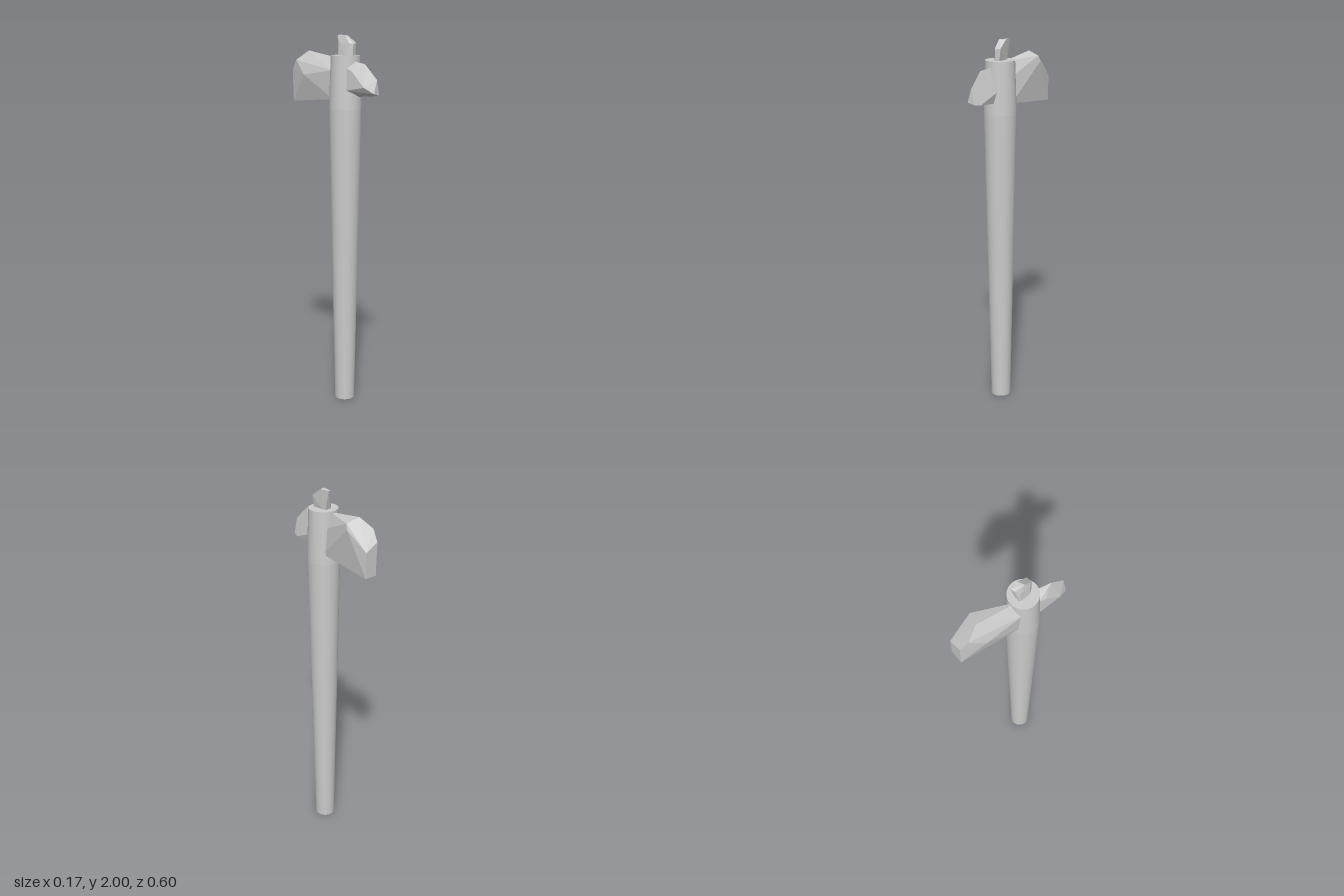
import * as THREE from 'three';
import { ConvexGeometry } from 'three/addons/geometries/ConvexGeometry.js';

const material = new THREE.MeshStandardMaterial({ color: 0xcccccc });
const stone = new THREE.MeshStandardMaterial({ color: 0xcccccc, flatShading: true });

// Faceted chipped-stone piece from its corner points
function chip(name, corners) {
  const geometry = new ConvexGeometry(corners.map((c) => new THREE.Vector3(...c)));
  const mesh = new THREE.Mesh(geometry, stone);
  mesh.name = name;
  return mesh;
}

export function createModel() {
  const group = new THREE.Group();
  group.name = 'stoneAxe';

  // Handle: widens upward, then narrows at the head; repeated points keep the rims sharp
  const profile = [
    [0, 0], [0.054, 0], [0.054, 0], [0.054, 0.001], [0.086, 1.62], [0.086, 1.622],
    [0.077, 1.896], [0.077, 1.897], [0.077, 1.897], [0, 1.897],
  ].map(([r, y]) => new THREE.Vector2(r, y));
  const handle = new THREE.Mesh(new THREE.LatheGeometry(profile, 32), material);
  handle.name = 'handle';
  handle.position.z = 0.073;
  group.add(handle);

  // Large blade at the back
  group.add(chip('blade', [
    // root, sunk into the handle
    [-0.057, 1.82, 0.03], [-0.008, 1.882, 0.03], [0.032, 1.80, 0.03],
    [0.045, 1.67, 0.03], [-0.05, 1.67, 0.03],
    // shoulder
    [-0.049, 1.79, -0.18], [0.01, 1.915, -0.195], [0.08, 1.895, -0.175],
    [0.086, 1.865, -0.185], [-0.021, 1.865, -0.26],
    // cutting end
    [-0.006, 1.81, -0.302], [0.07, 1.775, -0.302], [0.07, 1.64, -0.302], [0.0, 1.64, -0.302],
  ]));

  // Small pick at the front
  group.add(chip('pick', [
    [-0.055, 1.835, 0.12], [-0.005, 1.868, 0.12], [0.032, 1.75, 0.13],
    [0.015, 1.683, 0.13], [-0.06, 1.72, 0.13],
    [-0.022, 1.857, 0.222], [-0.035, 1.852, 0.185], [-0.059, 1.82, 0.165],
    [-0.064, 1.74, 0.25], [0.01, 1.695, 0.265],
    [-0.022, 1.78, 0.302], [-0.045, 1.71, 0.302], [-0.003, 1.70, 0.302],
  ]));

  // Splinter standing on top
  group.add(chip('topSplinter', [
    [-0.02, 1.88, 0.04], [-0.02, 1.88, 0.095], [0.0, 1.88, 0.122],
    [0.022, 1.88, 0.118], [0.02, 1.88, 0.04],
    [-0.015, 1.96, 0.045], [-0.01, 1.96, 0.105], [0.003, 1.955, 0.124],
    [0.033, 1.96, 0.118],
    [0.02, 2.0, 0.012], [0.028, 2.0, 0.06], [-0.004, 2.0, 0.076], [-0.003, 1.995, 0.022],
  ]));

  return group;
}
